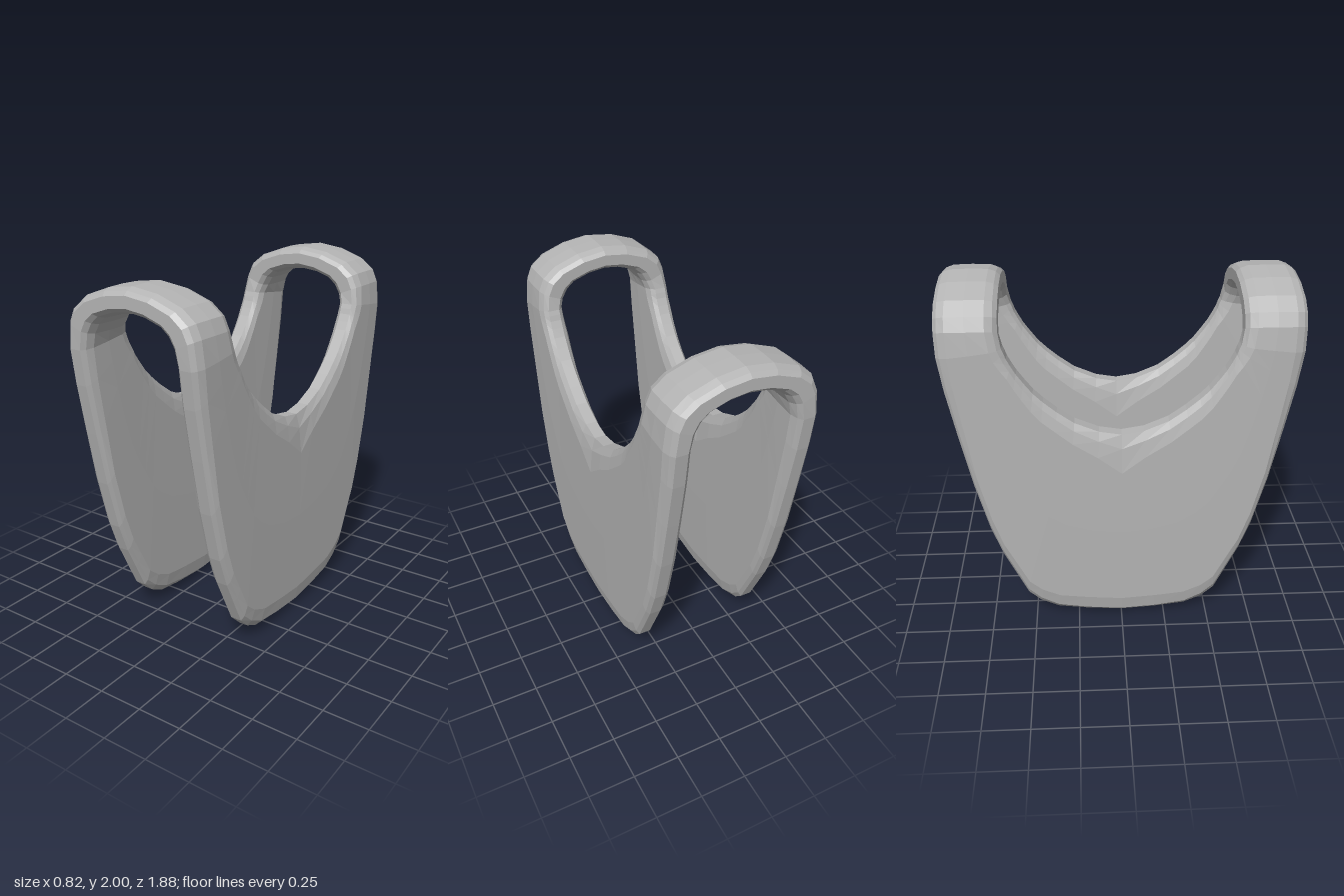
import * as THREE from 'three';

const grey = new THREE.MeshStandardMaterial({ color: 0xb4b4b4, flatShading: true });
grey.name = 'plain grey';

// Side panel, centre to horn: outer edge z, y, notch edge z, y, outer bevel, notch bevel, edge sharpness
const panel = [
  [0, 0.0, 0, 1.2, 0.13, 0.22, 0.06],
  [0.2, 0.015, 0.12, 1.22, 0.13, 0.14, 0.08],
  [0.37, 0.045, 0.25, 1.275, 0.12, 0.11, 0.2],
  [0.47, 0.1, 0.34, 1.34, 0.11, 0.1, 0.35],
  [0.54, 0.17, 0.41, 1.4, 0.1, 0.1, 0.45],
  [0.61, 0.32, 0.46, 1.45, 0.09, 0.09, 0.45],
  [0.67, 0.45, 0.505, 1.51, 0.08, 0.08, 0.45],
  [0.73, 0.62, 0.54, 1.56, 0.08, 0.07, 0.45],
  [0.8, 0.9, 0.565, 1.605, 0.07, 0.06, 0.45],
  [0.86, 1.2, 0.585, 1.645, 0.07, 0.06, 0.45],
  [0.91, 1.47, 0.595, 1.675, 0.06, 0.06, 0.45],
  [0.935, 1.66, 0.605, 1.7, 0.06, 0.06, 0.45],
];

// Bridge, shoulder to crown: outer x, y and inner x, y
const bridge = [
  [0.395, 1.8, 0.25, 1.74],
  [0.365, 1.87, 0.22, 1.79],
  [0.29, 1.93, 0.18, 1.825],
  [0.15, 1.98, 0.09, 1.855],
  [0, 2.0, 0, 1.866],
];

// Rounded strip section from edge a to edge b, with half thickness vector n
function section(a, b, n, bevelA, bevelB, sharp) {
  const length = a.distanceTo(b);
  const steps = [
    [0, sharp], [bevelA * 0.35, 0.75], [bevelA, 0.96], [length / 2, 1],
    [length - bevelB, 0.96], [length - bevelB * 0.35, 0.75], [length, 0.45],
  ];
  const at = (side) => ([d, w]) => a.clone().lerp(b, d / length).addScaledVector(n, side * w);
  return [...steps.map(at(1)), ...steps.map(at(-1)).reverse()];
}

function quarterSections() {
  const list = panel.map(([za, ya, zb, yb, bevelA, bevelB, sharp]) => section(
    new THREE.Vector3(0.339, ya, za), new THREE.Vector3(0.339, yb, zb),
    new THREE.Vector3(0.071, 0, 0), bevelA, bevelB, sharp));
  for (const [xo, yo, xi, yi] of bridge) {
    const x = (xo + xi) / 2, y = (yo + yi) / 2;
    list.push(section(
      new THREE.Vector3(x, y, 0.938), new THREE.Vector3(x, y, 0.62),
      new THREE.Vector3((xo - xi) / 2, (yo - yi) / 2, 0), 0.06, 0.06, 0.45));
  }
  return list;
}

// Join the mirrored quarters into one closed loop of sections
function loopGeometry() {
  const quarter = quarterSections();
  const rings = [];
  for (const [sx, sz, reversed] of [[1, 1, false], [-1, 1, true], [-1, -1, false], [1, -1, true]]) {
    const part = quarter.map((ring) => ring.map((p) => new THREE.Vector3(p.x * sx, p.y, p.z * sz)));
    if (reversed) part.reverse();
    rings.push(...part.slice(0, -1));
  }
  const sides = rings[0].length;
  const index = [];
  rings.forEach((_, i) => {
    const next = (i + 1) % rings.length;
    for (let j = 0; j < sides; j++) {
      const k = (j + 1) % sides;
      const a = i * sides + j, b = i * sides + k;
      const c = next * sides + j, d = next * sides + k;
      index.push(a, b, c, b, d, c);
    }
  });
  const geometry = new THREE.BufferGeometry().setFromPoints(rings.flat());
  geometry.setIndex(index);
  geometry.computeVertexNormals();
  return geometry;
}

export function createModel() {
  const group = new THREE.Group();
  group.name = 'bridgedPanels';
  const body = new THREE.Mesh(loopGeometry(), grey);
  body.name = 'sidePanelsAndBridges';
  group.add(body);
  return group;
}
